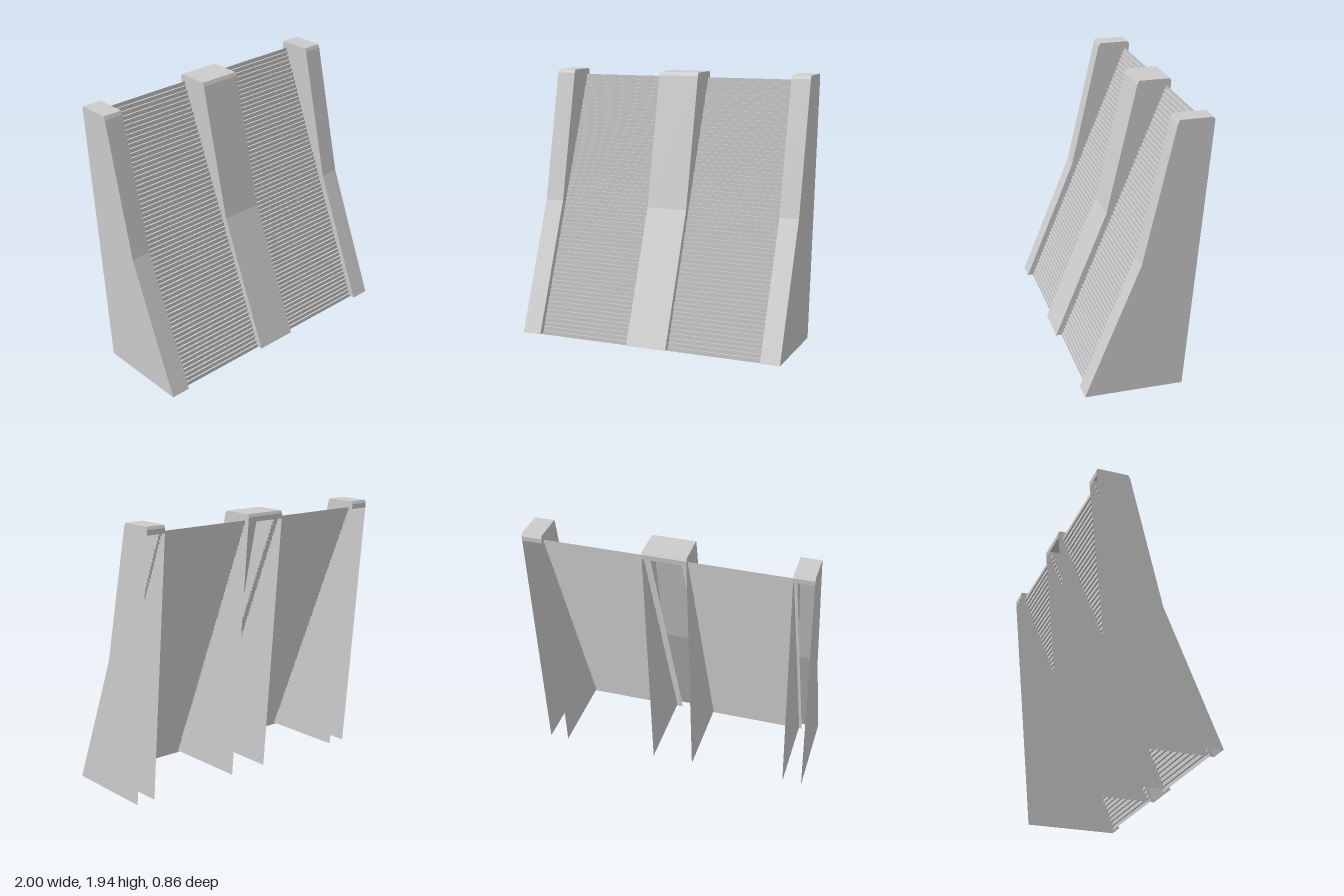
import * as THREE from 'three';

const material = new THREE.MeshStandardMaterial({
  color: 0xcccccc, flatShading: true, side: THREE.DoubleSide,
});

// Sweeps a [z, y] profile straight across from x0 to x1 as an open sheet.
function ribbon(profile, x0, x1) {
  const pos = [];
  for (let i = 0; i < profile.length - 1; i++) {
    const [z0, y0] = profile[i], [z1, y1] = profile[i + 1];
    const a = [x0, y0, z0], b = [x1, y0, z0], c = [x1, y1, z1], d = [x0, y1, z1];
    pos.push(...a, ...b, ...c, ...a, ...c, ...d);
  }
  const geometry = new THREE.BufferGeometry();
  geometry.setAttribute('position', new THREE.Float32BufferAttribute(pos, 3));
  geometry.computeVertexNormals();
  return geometry;
}

function add(parent, geometry, name) {
  const mesh = new THREE.Mesh(geometry, material);
  mesh.name = name;
  parent.add(mesh);
  return mesh;
}

// Buttress outline, from the front foot over the top to the back lip.
const FRONT = [[0.43, 0.012], [0.04, 0.96], [-0.183, 1.915], [-0.195, 1.94]];
const TOP = [[-0.195, 1.94], [-0.42, 1.94], [-0.43, 1.92], [-0.427, 1.885]];
const BACK_FOOT = [-0.262, 0.012];

// Hollow buttress: two cheeks, a front skin and a cap; open behind and below.
function buttress(x0, x1, name) {
  const group = new THREE.Group();
  group.name = name;
  const outline = [...FRONT, ...TOP.slice(1), BACK_FOOT].map(([z, y]) => new THREE.Vector2(z, y));
  for (const [x, side] of [[x0, -1], [x1, 1]]) {
    const cheek = new THREE.ShapeGeometry(new THREE.Shape(outline));
    cheek.rotateY(-Math.PI / 2); // the outline now lies in the z-y plane, facing -x
    if (side > 0) {
      const index = cheek.index.array;
      for (let i = 0; i < index.length; i += 3) [index[i], index[i + 1]] = [index[i + 1], index[i]];
      cheek.computeVertexNormals();
    }
    cheek.translate(x, 0, 0);
    add(group, cheek, side < 0 ? 'rightCheek' : 'leftCheek');
  }
  add(group, ribbon(FRONT, x0, x1), 'frontSkin');
  add(group, ribbon(TOP, x0, x1), 'cap');
  return group;
}

// Stepped sheet leaning back: vertical risers joined by narrow treads.
function steppedProfile(steps) {
  const points = [[0.385, 0]];
  for (let i = 0; i < steps; i++) {
    const y = (1.895 * (i + 1)) / steps;
    const z = 0.385 - (0.775 * i) / (steps - 1);
    points.push([z, y]);
    if (i < steps - 1) points.push([0.385 - (0.775 * (i + 1)) / (steps - 1), y]);
  }
  return points;
}

export function createModel() {
  const model = new THREE.Group();
  model.name = 'buttressedWall';

  model.add(buttress(-1, -0.858, 'rightButtress'));
  model.add(buttress(-0.153, 0.153, 'centreButtress'));
  model.add(buttress(0.858, 1, 'leftButtress'));

  // The wall panels run a little way into the hollow buttresses.
  const steps = steppedProfile(64);
  add(model, ribbon(steps, -0.877, -0.11), 'rightWallPanel');
  add(model, ribbon(steps, 0.11, 0.877), 'leftWallPanel');

  return model;
}
